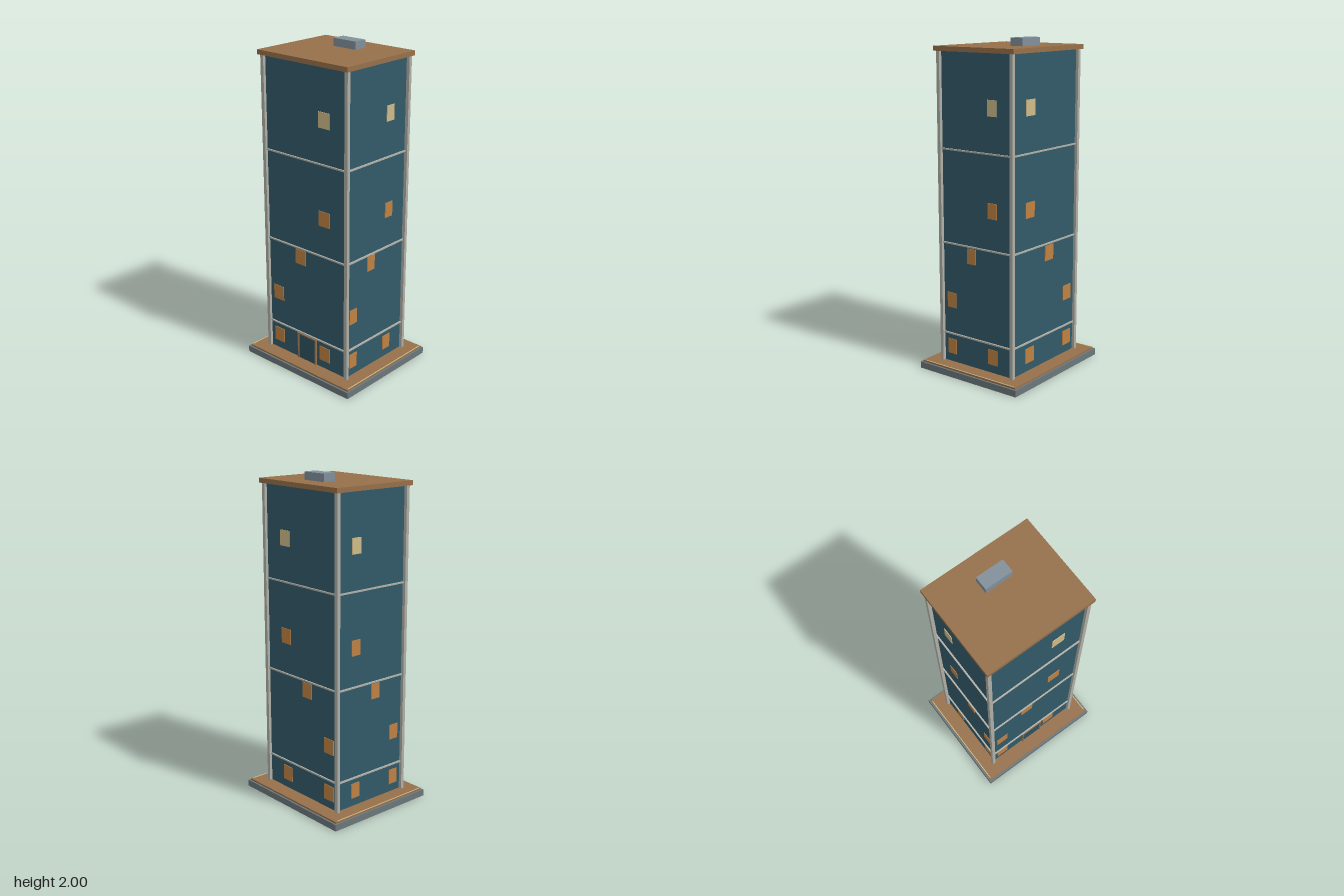
import * as THREE from 'three';

const mat = (color) => new THREE.MeshStandardMaterial({ color });
const M = {
  glass: mat(0x315a68), door: mat(0x2d525f), stone: mat(0x6b777b), wood: mat(0x96704a),
  trim: mat(0xb0b0a8), orange: mat(0xbf8142), cream: mat(0xcfbb88), vent: mat(0x82909a),
};

export function createModel() {
  const model = new THREE.Group();

  // Box given by its x, y and z ranges
  const box = (name, material, [x0, x1], [y0, y1], [z0, z1], parent = model) => {
    const mesh = new THREE.Mesh(new THREE.BoxGeometry(x1 - x0, y1 - y0, z1 - z0), material);
    mesh.position.set((x0 + x1) / 2, (y0 + y1) / 2, (z0 + z1) / 2);
    mesh.name = name;
    parent.add(mesh);
    return mesh;
  };
  const sym = (r) => [-r, r];
  const around = (c, size) => [c - size / 2, c + size / 2];
  const W = 0.312, D = 0.258; // half width and half depth of the tower

  // Base and paved terrace
  box('foundation', M.stone, sym(0.42), [0, 0.04], sym(0.365));
  box('terrace', M.wood, sym(0.408), [0.04, 0.05], sym(0.353));
  for (const s of [-1, 1]) box('terraceEdging', M.cream, around(s * 0.404, 0.006), [0.045, 0.052], sym(0.34));

  // Tower walls
  box('tower', M.glass, sym(W), [0.05, 1.925], sym(D));

  // Corner columns
  for (const sx of [-1, 1]) for (const sz of [-1, 1]) {
    box('cornerColumn', M.trim, around(sx * 0.321, 0.023), [0.05, 1.925], around(sz * 0.265, 0.021));
  }

  // Floor bands
  for (const y of [0.23, 0.795, 1.36]) {
    box('floorBand', M.trim, sym(0.322), around(y, 0.009), sym(0.267));
  }

  // Windows: column index, row index, on all four walls
  const windows = new THREE.Group();
  windows.name = 'windows';
  model.add(windows);
  const layout = [[0, 0], [4, 0], [0, 1], [2, 2], [4, 3], [4, 5]];
  for (const [col, row] of layout) {
    const material = row === 5 ? M.cream : M.orange;
    const y = around(0.147 + row * 0.2945, 0.093);
    const x = around(-0.24 + col * 0.096, 0.083);
    const z = around(0.196 - col * 0.078, 0.066);
    for (const s of [-1, 1]) {
      box(s > 0 ? 'frontWindow' : 'backWindow', material, x, y, around(s * D, 0.008), windows);
      box(s > 0 ? 'leftWindow' : 'rightWindow', material, around(s * W, 0.008), y, z, windows);
    }
  }

  // Entrance
  const entrance = new THREE.Group();
  entrance.name = 'entrance';
  model.add(entrance);
  box('door', M.door, sym(0.068), [0.05, 0.217], [D - 0.01, D + 0.005], entrance);
  for (const s of [-1, 1]) box('doorJamb', M.wood, around(s * 0.072, 0.008), [0.05, 0.217], [D - 0.01, D + 0.012], entrance);
  box('doorLintel', M.wood, sym(0.078), [0.217, 0.2255], [D - 0.01, D + 0.014], entrance);

  // Roof slab and rooftop unit
  box('roof', M.wood, sym(0.343), [1.925, 1.953], sym(0.289));
  box('rooftopUnit', M.vent, sym(0.085), [1.953, 2], [-0.157, -0.073]);

  return model;
}
